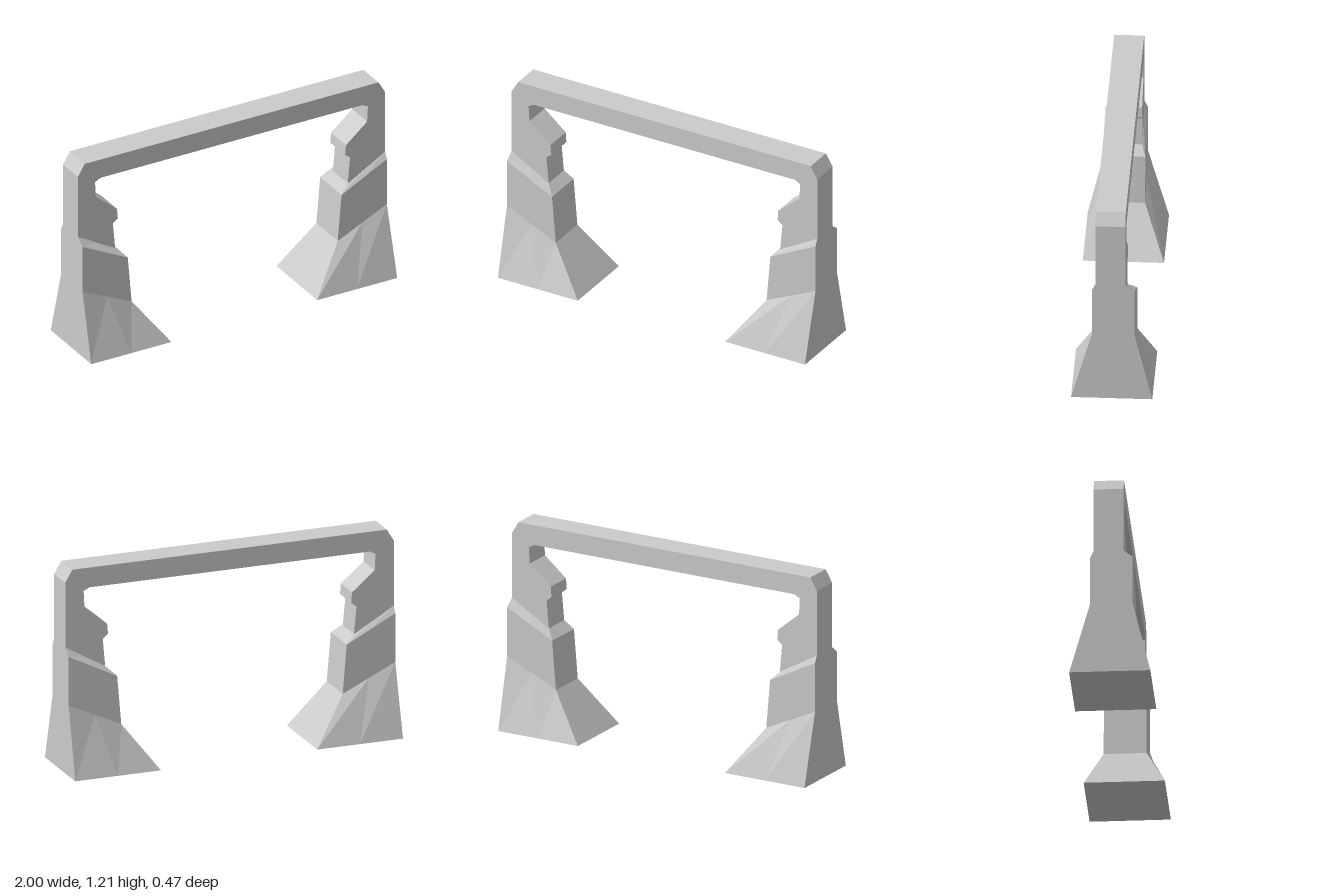
import * as THREE from 'three';

const material = new THREE.MeshStandardMaterial({ color: 0xcccccc, flatShading: true });

// Flat-faced solid through stacked rings of equal point count, closed at the bottom
function loft(rings) {
  const out = [];
  const tri = (...pts) => pts.forEach((p) => out.push(...p));
  const n = rings[0].length;
  for (let r = 0; r < rings.length - 1; r++) {
    const a = rings[r], b = rings[r + 1];
    for (let i = 0; i < n; i++) {
      const j = (i + 1) % n;
      tri(a[i], b[i], a[j]);
      tri(a[j], b[i], b[j]);
    }
  }
  for (let i = 1; i < n - 1; i++) tri(rings[0][0], rings[0][i], rings[0][i + 1]);
  const geometry = new THREE.BufferGeometry();
  geometry.setAttribute('position', new THREE.Float32BufferAttribute(out, 3));
  geometry.computeVertexNormals();
  return geometry;
}

// Slanted section of a foot: outer edge at x = 1, with a middle column on each broad face
function section(innerX, outerY, innerY, front, back) {
  const midX = (1 + innerX) / 2, midY = (outerY + innerY) / 2;
  return [
    [1, outerY, front], [midX, midY, front], [innerX, innerY, front],
    [innerX, innerY, back], [midX, midY, back], [1, outerY, back],
  ];
}

export function createModel() {
  const group = new THREE.Group();

  // Arch frame: half of the outline, from the foot of the post to the beam
  const half = [
    [0.757, 0.61], [0.772, 0.773], [0.74, 0.798], [0.745, 0.86],
    [0.883, 0.975], [0.888, 1.072], [0.853, 1.09],
  ];
  const outer = [[0.957, 1.208], [1, 1.135], [1, 0.75]];
  const mirror = (pts) => pts.map(([x, y]) => [-x, y]).reverse();
  const outline = [...half, ...mirror(half), ...mirror(outer), ...outer];
  const shape = new THREE.Shape(outline.map(([x, y]) => new THREE.Vector2(x, y)));
  const depth = 0.17;
  const frameGeometry = new THREE.ExtrudeGeometry(shape, { depth, bevelEnabled: false });
  frameGeometry.translate(0, 0, -depth / 2);
  const frame = new THREE.Mesh(frameGeometry, material);
  frame.name = 'archFrame';
  group.add(frame);

  // Flared feet: shallow on one face, deeper on the other, turned half round on the far side
  const footGeometry = loft([
    section(0.478, 0, 0, 0.223, -0.237),
    section(0.68, 0.42, 0.27, 0.105, -0.137),
    section(0.705, 0.71, 0.56, 0.105, -0.137),
    section(0.757, 0.75, 0.61, 0.085, -0.085),
  ]);
  ['leftFoot', 'rightFoot'].forEach((name, i) => {
    const foot = new THREE.Mesh(footGeometry, material);
    foot.name = name;
    foot.rotation.y = i * Math.PI;
    group.add(foot);
  });

  return group;
}
